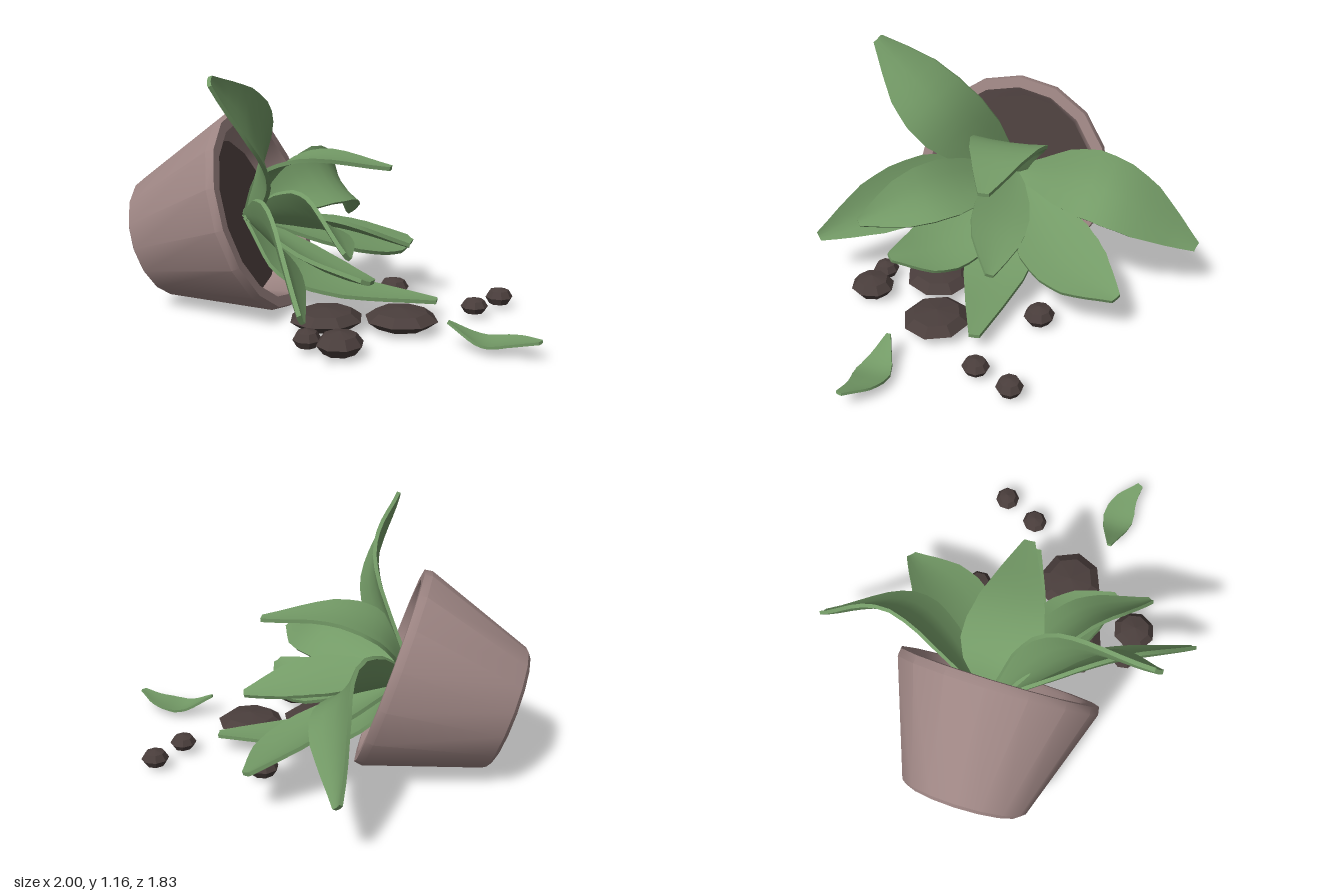
import * as THREE from 'three';
import { toCreasedNormals } from 'three/addons/utils/BufferGeometryUtils.js';

const potMat = new THREE.MeshStandardMaterial({ color: 0x9c8482 });
const leafMat = new THREE.MeshStandardMaterial({ color: 0x739a66 });
const soilMat = new THREE.MeshStandardMaterial({ color: 0x4a3e3c });
const V = (p) => new THREE.Vector3(...p);

const GROWN = [0.2, 0.5, 0.84, 1, 0.97, 0.82, 0.5, 0.14];
const FALLEN = [0.12, 0.45, 0.8, 1, 0.95, 0.75, 0.45, 0.2];

// Thin cupped blade: a closed cross-section swept along a spine.
// half is the vector from the spine to one edge at the widest place.
function leafGeometry(points, half, widths, cup, thick) {
  const curve = new THREE.CatmullRomCurve3(points.map(V));
  const pos = [], index = [], steps = 14, ring = 10;
  const side0 = V(half), size = side0.length();
  // the hollow face looks towards the open end of the pot and the sky
  const toward = V(points.at(-1)).sub(V(points[0])).cross(side0);
  if (toward.x + toward.y * 0.6 < 0) side0.negate();
  for (let i = 0; i <= steps; i++) {
    const t = i / steps, c = curve.getPoint(t), tan = curve.getTangent(t);
    const side = side0.clone().addScaledVector(tan, -side0.dot(tan)).normalize();
    const normal = tan.clone().cross(side);
    const k = t * (widths.length - 1), a = Math.min(Math.floor(k), widths.length - 2);
    const w = size * THREE.MathUtils.lerp(widths[a], widths[a + 1], k - a);
    for (let j = 0; j < ring; j++) {
      const top = j < 5, s = top ? 1 - j / 2 : (j - 5) / 2 - 1;
      const p = c.clone().addScaledVector(side, s * w)
        .addScaledVector(normal, cup * w * (s * s - 0.6) + (top ? thick : -thick));
      pos.push(p.x, p.y, p.z);
    }
  }
  for (let i = 0; i < steps; i++) {
    for (let j = 0; j < ring; j++) {
      const a = i * ring + j, b = i * ring + (j + 1) % ring;
      index.push(a, b, b + ring, a, b + ring, a + ring);
    }
  }
  // end caps, closed as strips between upper and lower face
  const e = steps * ring;
  for (let j = 0; j < 4; j++) {
    const q = [j, j + 1, 8 - j, 9 - j];
    index.push(q[0], q[2], q[1], q[0], q[3], q[2]);
    index.push(e + q[0], e + q[1], e + q[2], e + q[0], e + q[2], e + q[3]);
  }
  const g = new THREE.BufferGeometry();
  g.setAttribute('position', new THREE.Float32BufferAttribute(pos, 3));
  g.setIndex(index);
  return toCreasedNormals(g, 0.7);
}

export function createModel() {
  const model = new THREE.Group();
  model.name = 'tippedPottedPlant';
  const add = (parent, name, geometry, material) => {
    const m = new THREE.Mesh(geometry, material);
    m.name = name;
    parent.add(m);
    return m;
  };

  // Pot lying on its side, with soil inside
  const pot = new THREE.Group();
  pot.name = 'pot';
  pot.position.set(-0.91, 0.305, 0.055);
  pot.rotation.z = THREE.MathUtils.degToRad(-72.2);
  model.add(pot);
  const profile = [[0, 0], [0.275, 0], [0.3, 0.018], [0.486, 0.55], [0.48, 0.588],
    [0.43, 0.588], [0.418, 0.57], [0.37, 0.42]].map((p) => new THREE.Vector2(...p));
  add(pot, 'potShell', toCreasedNormals(new THREE.LatheGeometry(profile, 16), 0.6), potMat);
  add(pot, 'pottingSoil', new THREE.CylinderGeometry(0.376, 0.37, 0.02, 16), soilMat).position.y = 0.43;

  // Rosette: spine points after the shared root, half-width vector, cupping
  const root = [-0.45, 0.44, 0.05];
  const rosette = [
    [[[-0.22, 0.84, 0.36], [-0.31, 1.14, 0.715]], [-0.045, 0.125, -0.13], 0.2],
    [[[-0.18, 0.565, -0.45], [-0.25, 0.28, -0.9]], [-0.1, 0.13, -0.04], 0.2],
    [[[0.0, 0.285, -0.3], [0.19, 0.22, -0.6]], [0.12, -0.05, 0.13], 0.15],
    [[[-0.32, 0.66, 0.04], [-0.12, 0.74, 0.03], [0.25, 0.7, 0.01]], [0, 0, 0.185], 0.06],
    [[[-0.25, 0.22, 0.04], [0, 0.13, 0.03], [0.47, 0.085, -0.01]], [0, 0, 0.18], 0.06],
    [[[-0.11, 0.44, 0.48], [0.14, 0.25, 0.9]], [-0.045, 0.145, 0.06], 0.2],
    [[[0.02, 0.53, 0.33], [0.24, 0.44, 0.63]], [-0.07, 0.1, 0.08], 0.2],
    [[[0.05, 0.28, 0.26], [0.27, 0.29, 0.47]], [0.1, -0.06, -0.12], 0.15],
    [[[0.0, 0.42, 0.01], [0.33, 0.33, -0.04]], [0, 0.045, 0.13], 0.1],
  ];
  const leaves = new THREE.Group();
  leaves.name = 'leaves';
  model.add(leaves);
  rosette.forEach(([spine, half, cup], i) =>
    add(leaves, `leaf${i + 1}`, leafGeometry([root, ...spine], half, GROWN, cup, 0.009), leafMat));

  // Leaf dropped on the floor
  const dropped = [[0.6, 0.115, 0.35], [0.75, 0.045, 0.35], [0.88, 0.06, 0.36], [1, 0.09, 0.415]];
  add(model, 'fallenLeaf', leafGeometry(dropped, [0, 0, 0.08], FALLEN, 0.1, 0.006), leafMat);

  // Spilled clumps of soil: x, z, radius, half height
  const clumps = [
    [0.36, 0.21, 0.168, 0.05], [0.04, 0.31, 0.17, 0.05], [0.2, 0.6, 0.107, 0.055],
    [0.05, 0.59, 0.065, 0.045], [0.2, -0.245, 0.077, 0.05], [0.72, -0.25, 0.065, 0.045],
    [0.635, -0.07, 0.065, 0.04],
  ];
  const clumpGeometry = toCreasedNormals(new THREE.SphereGeometry(1, 8, 4), 0.5);
  clumps.forEach(([x, z, r, h], i) => {
    const c = add(model, `soilClump${i + 1}`, clumpGeometry, soilMat);
    c.position.set(x, 0.06, z);
    c.scale.set(r, h, r * 0.95);
    c.rotation.y = i * 0.7;
  });
  return model;
}
